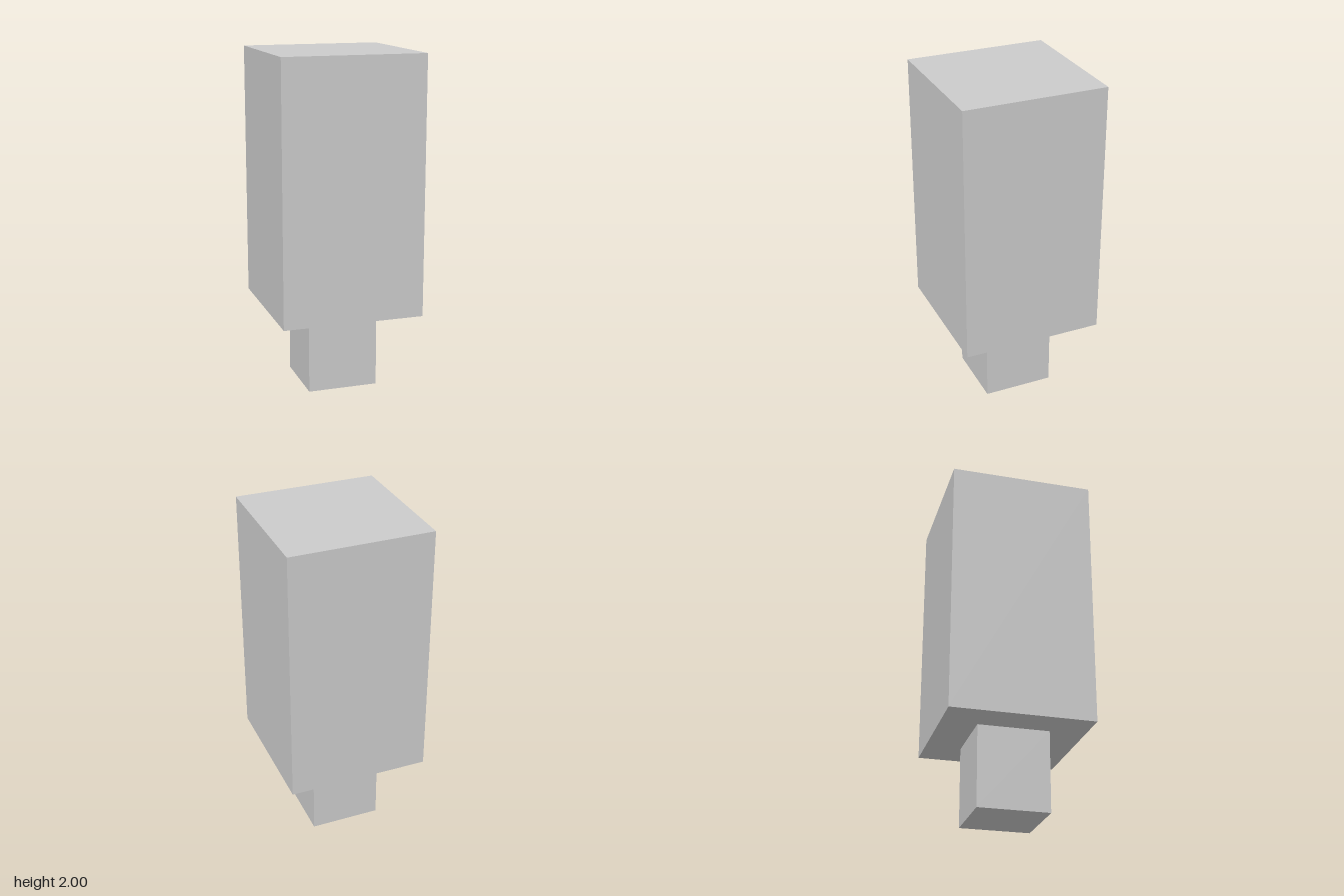
import * as THREE from 'three';

const material = new THREE.MeshStandardMaterial({ color: 0xcccccc, flatShading: true });

// Square block standing between two heights
function block(name, width, bottom, top) {
  const mesh = new THREE.Mesh(new THREE.BoxGeometry(width, top - bottom, width), material);
  mesh.name = name;
  mesh.position.y = (bottom + top) / 2;
  return mesh;
}

export function createModel() {
  const model = new THREE.Group();
  model.name = 'steppedBlock';
  const shoulder = 0.476;

  model.add(block('stem', 0.42, 0, shoulder)); // narrow foot
  model.add(block('body', 0.84, shoulder, 2)); // tall upper block
  return model;
}
